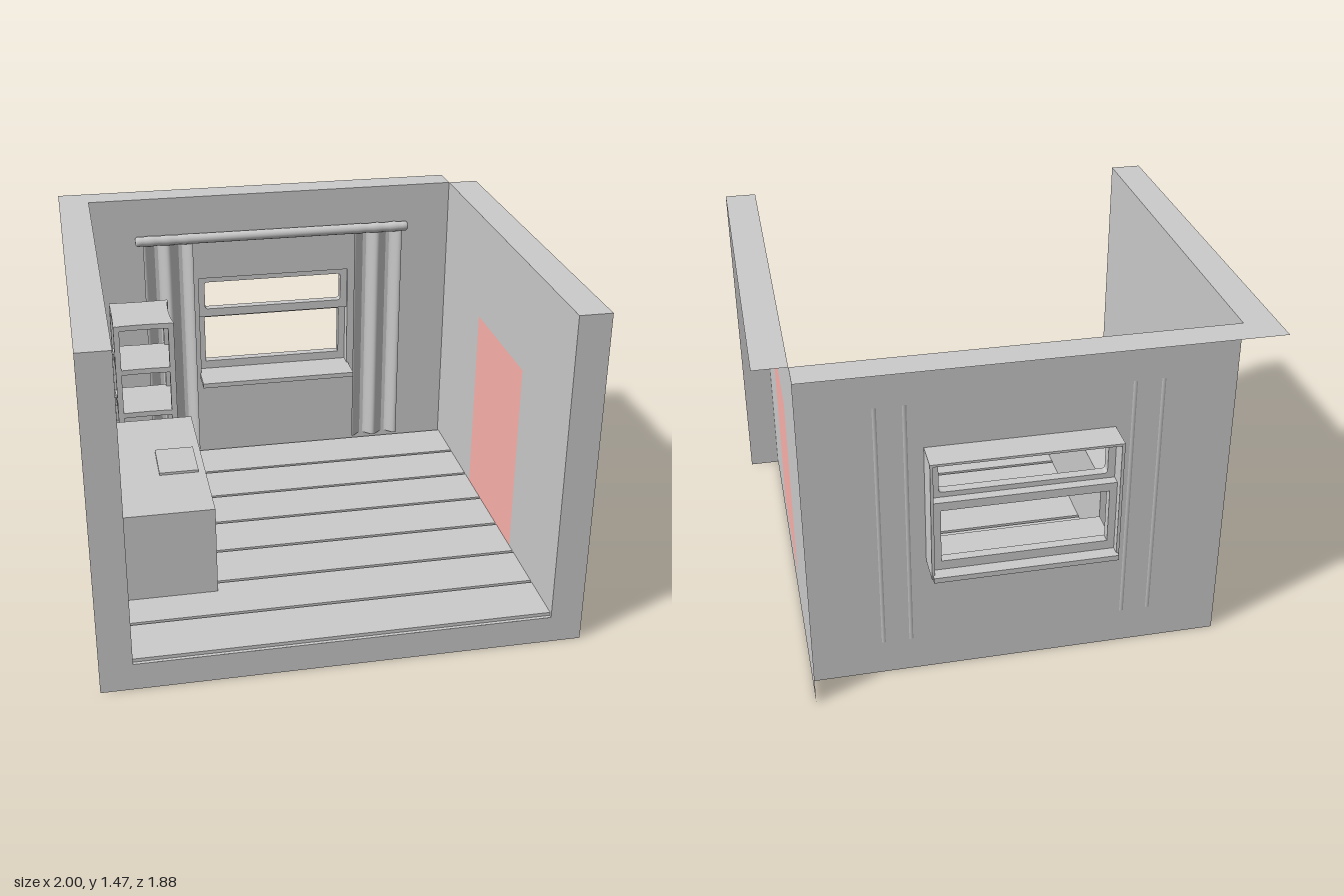
import * as THREE from 'three';

const H = 1.47, W = 0.865, BACK = -0.795, FRONT = 0.94, OUT = -0.925, FLOOR = 0.135;

export function createModel() {
  const room = new THREE.Group();
  room.name = 'room';
  const grey = new THREE.MeshStandardMaterial({ color: 0xcccccc, side: THREE.DoubleSide });
  const red = new THREE.MeshStandardMaterial({ color: 0xfcb1aa, side: THREE.DoubleSide });

  const add = (name, geometry, parent = room, material = grey) => {
    const mesh = new THREE.Mesh(geometry, material);
    mesh.name = name;
    parent.add(mesh);
    return mesh;
  };
  const group = (name) => {
    const g = new THREE.Group();
    g.name = name;
    room.add(g);
    return g;
  };
  // Box from its limits
  const box = (name, x0, x1, y0, y1, z0, z1, parent) =>
    add(name, new THREE.BoxGeometry(x1 - x0, y1 - y0, z1 - z0)
      .translate((x0 + x1) / 2, (y0 + y1) / 2, (z0 + z1) / 2), parent);
  const polygon = (points) => new THREE.Shape(points.map(([x, y]) => new THREE.Vector2(x, y)));
  const rect = (x0, x1, y0, y1) => polygon([[x0, y0], [x1, y0], [x1, y1], [x0, y1]]);
  const panel = (shape) => new THREE.ShapeGeometry(shape);
  const sidePanel = (shape, x) => panel(shape).rotateY(-Math.PI / 2).translate(x, 0, 0);

  // Walls: single sheets with a cap along the top and front
  const walls = group('walls');
  const backWall = rect(-W, W, 0, H);
  backWall.holes.push(rect(-0.38, 0.38, 0.54, 1.07));
  add('backWall', panel(backWall).translate(0, 0, BACK), walls);
  add('leftSideWall', sidePanel(rect(BACK, FRONT, 0, H), -W), walls);
  const doorWall = rect(OUT, FRONT, 0, H);
  doorWall.holes.push(rect(-0.225, 0.39, FLOOR, 1));
  add('doorWall', sidePanel(doorWall, W), walls);
  add('door', sidePanel(rect(-0.225, 0.39, FLOOR, 1), W), room, red);
  add('frontEdge', panel(polygon([[-1, 0], [1, 0], [1, H], [W, H], [W, 0.12],
    [-W, 0.12], [-W, H], [-1, H]])).translate(0, 0, FRONT), walls);
  add('topEdge', panel(polygon([[-1, -FRONT], [-W, -FRONT], [-W, -BACK], [W, -BACK], [W, -FRONT],
    [1, -FRONT], [1, -BACK], [W, -BACK], [W, -OUT], [-1, -OUT]]))
    .rotateX(-Math.PI / 2).translate(0, H, 0), walls);

  // Floor: stepped sheet of seven planks with grooves between
  const floor = group('floor');
  const pitch = 0.2457, groove = 0.015;
  const strip = (name, y, z0, z1) => add(name,
    new THREE.PlaneGeometry(2 * W, z1 - z0).rotateX(-Math.PI / 2).translate(0, y, (z0 + z1) / 2), floor);
  for (let i = 0; i < 8; i++) {
    const z = BACK + i * pitch;
    strip('groove', 0.12, z, Math.min(z + groove, FRONT));
    if (i < 7) strip('plank', FLOOR, z + groove, z + pitch);
    for (const edge of [i < 7 ? z + groove : z, z])
      add('plankEdge', new THREE.PlaneGeometry(2 * W, 0.015).translate(0, 0.1275, edge), floor);
  }

  // Window: case, two sashes and sill
  const win = group('window');
  box('caseTop', -0.38, 0.38, 1.06, 1.07, OUT, BACK, win);
  box('caseBottom', -0.38, 0.38, 0.54, 0.56, OUT, BACK, win);
  for (const s of [-1, 1])
    add('caseSide', new THREE.BoxGeometry(0.012, 0.53, BACK - OUT)
      .translate(s * 0.374, 0.805, (BACK + OUT) / 2), win);
  const sash = (name, y0, y1, z, r) => {
    const shape = rect(-0.378, 0.378, y0, y1);
    const [a, b, c, d] = [-0.338, 0.335, y0 + 0.04, y1 - 0.037];
    const hole = new THREE.Path();
    hole.moveTo(a + r, c).lineTo(b - r, c).quadraticCurveTo(b, c, b, c + r)
      .lineTo(b, d - r).quadraticCurveTo(b, d, b - r, d)
      .lineTo(a + r, d).quadraticCurveTo(a, d, a, d - r)
      .lineTo(a, c + r).quadraticCurveTo(a, c, a + r, c);
    shape.holes.push(hole);
    add(name, new THREE.ExtrudeGeometry(shape, { depth: 0.04, bevelEnabled: false, curveSegments: 5 })
      .translate(0, 0, z), win);
  };
  sash('upperSash', 0.855, 1.07, -0.85, 0.015);
  sash('lowerSash', 0.56, 0.873, -0.89, 0.002);
  box('sill', -0.375, 0.375, 0.537, 0.56, -0.945, -0.665, win);

  // Curtains: pleated sheets hanging from the rod
  const curtains = group('curtains');
  for (const s of [-1, 1]) {
    const cloth = new THREE.PlaneGeometry(0.235, 1.11, 48, 6);
    const p = cloth.attributes.position;
    for (let i = 0; i < p.count; i++) {
      const x = p.getX(i) + 0.51;
      p.setXYZ(i, s * x, p.getY(i) + 0.71, -0.778 + 0.019 * Math.cos((x - 0.45) * 55 + Math.PI));
    }
    // Mirroring flips the winding, so turn it back
    if (s < 0) {
      const a = cloth.index.array;
      for (let i = 0; i < a.length; i += 3) [a[i], a[i + 1]] = [a[i + 1], a[i]];
    }
    cloth.computeVertexNormals();
    add('curtain', cloth, curtains);
  }
  // Rod with rounded ends and slight gathers where the cloth hangs
  const profile = [new THREE.Vector2(0, -0.66), new THREE.Vector2(0.016, -0.658)];
  for (let i = 0; i <= 64; i++) {
    const t = -0.65 + 1.3 * i / 64;
    const gather = Math.abs(t) > 0.4 ? 0.0015 * Math.cos(t * 75) : 0;
    profile.push(new THREE.Vector2(0.0235 + gather, t));
  }
  profile.push(new THREE.Vector2(0.016, 0.658), new THREE.Vector2(0, 0.66));
  add('curtainRod', new THREE.LatheGeometry(profile, 20).rotateZ(-Math.PI / 2)
    .translate(-0.003, 1.273, -0.77), curtains);

  // Shelf unit: four posts with round feet, four boards with hollowed sides
  const shelf = group('shelfUnit');
  const cx = -0.668, cz = -0.553, hx = 0.138, hz = 0.148;
  for (const sx of [-1, 1]) for (const sz of [-1, 1]) {
    const x = cx + sx * (hx - 0.013), z = cz + sz * (hz - 0.013);
    box('post', x - 0.013, x + 0.013, FLOOR, 1, z - 0.013, z + 0.013, shelf);
    add('foot', new THREE.CylinderGeometry(0.013, 0.013, 0.03, 16).translate(x, 0.125, z), shelf);
  }
  const board = new THREE.Shape();
  board.moveTo(-hx, -hz).quadraticCurveTo(0, -hz + 0.012, hx, -hz)
    .quadraticCurveTo(hx - 0.02, 0, hx, hz)
    .quadraticCurveTo(0, hz - 0.012, -hx, hz)
    .quadraticCurveTo(-hx + 0.004, 0, -hx, -hz);
  for (let i = 0; i < 4; i++)
    add('shelfBoard', new THREE.ExtrudeGeometry(board, { depth: 0.025, bevelEnabled: false, curveSegments: 8 })
      .rotateX(-Math.PI / 2).translate(cx, 0.976 - 0.22 * i, cz), shelf);

  // Counter with a thin pad on top
  box('counter', -0.863, -0.47, FLOOR, 0.537, -0.37, 0.51);
  box('pad', -0.67, -0.5, 0.537, 0.548, -0.042, 0.178);

  return room;
}
